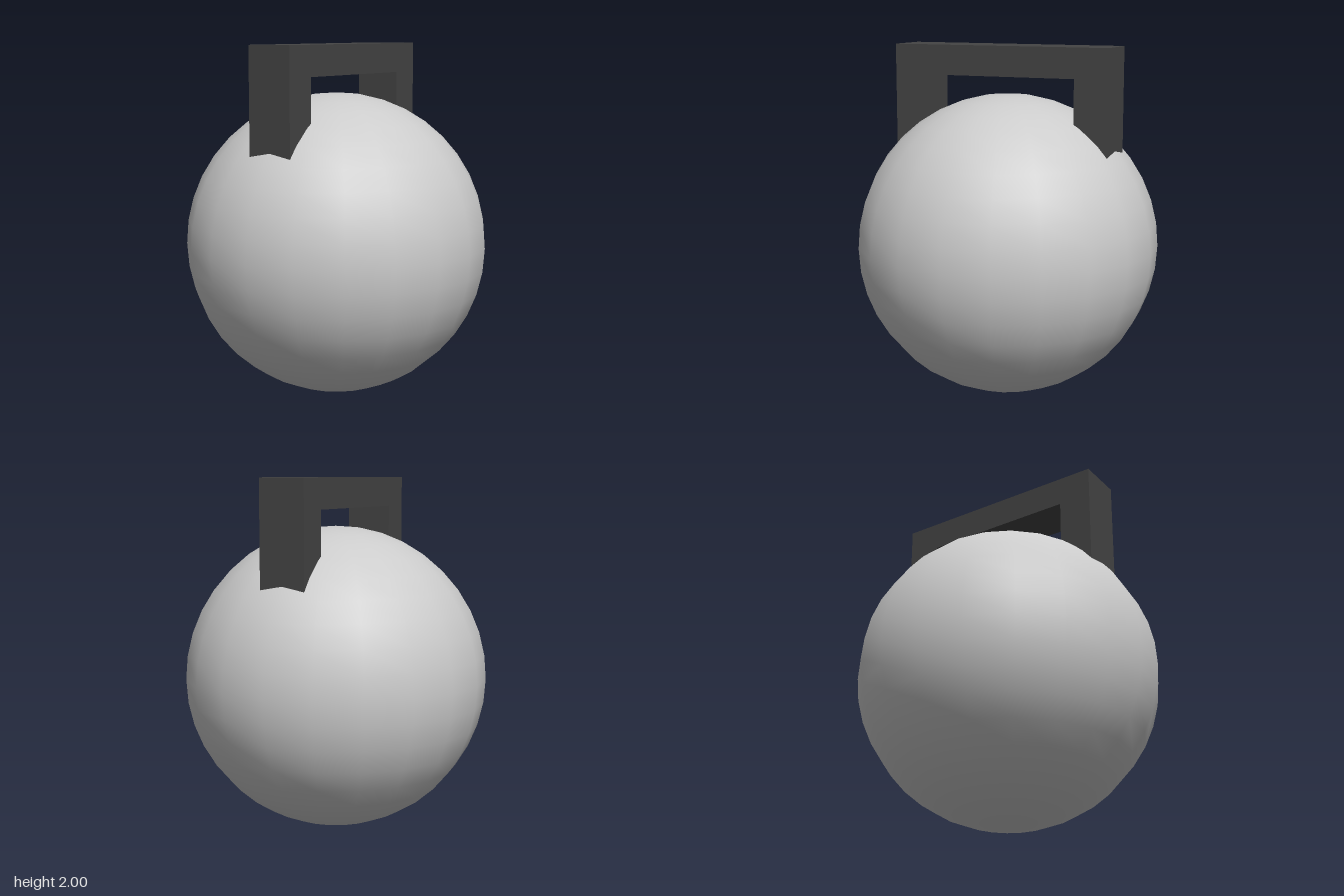
import * as THREE from 'three';

export function createModel() {
  const model = new THREE.Group();
  model.name = 'kettlebell';
  const radius = 0.863;

  // Ball: smooth sphere standing on the ground
  const ball = new THREE.Mesh(
    new THREE.SphereGeometry(radius, 20, 20),
    new THREE.MeshStandardMaterial({ color: 0xcccccc })
  );
  ball.name = 'ball';
  ball.position.y = radius;
  model.add(ball);

  // Handle: square-cornered arch whose legs sink into the ball
  const halfLength = 0.645, innerHalf = 0.45, width = 0.264;
  const top = 2, underside = 1.83, legEnd = 1.25;
  const arch = new THREE.Shape([
    [-halfLength, legEnd], [-innerHalf, legEnd],
    [-innerHalf, underside], [innerHalf, underside],
    [innerHalf, legEnd], [halfLength, legEnd],
    [halfLength, top], [-halfLength, top],
  ].map(([x, y]) => new THREE.Vector2(x, y)));
  const handleGeometry = new THREE.ExtrudeGeometry(arch, { depth: width, bevelEnabled: false });
  handleGeometry.translate(0, 0, -width / 2).rotateY(Math.PI / 2);
  const handle = new THREE.Mesh(handleGeometry, new THREE.MeshStandardMaterial({ color: 0x444444 }));
  handle.name = 'handle';
  model.add(handle);

  return model;
}
